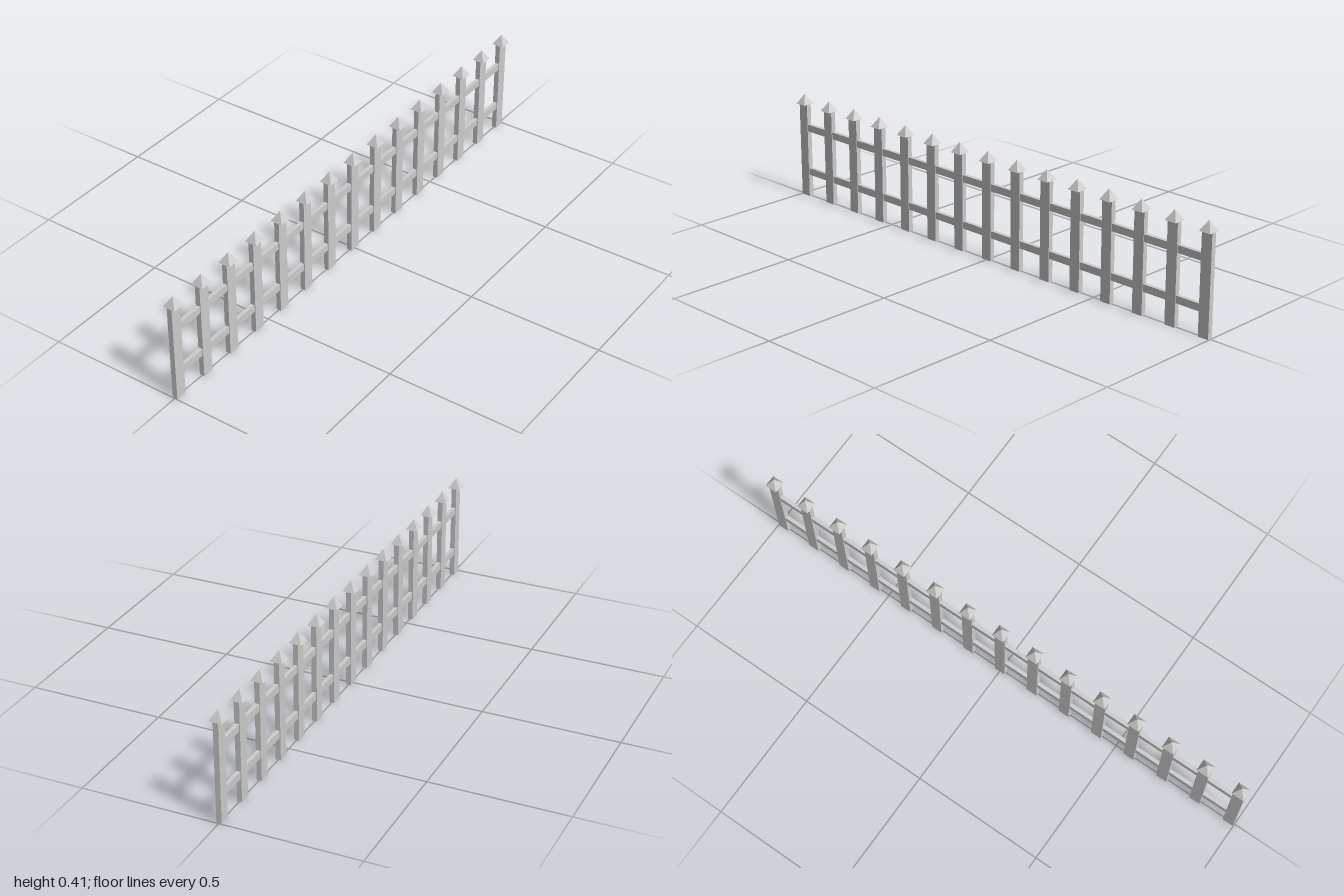
import * as THREE from 'three';

export function createModel() {
  const fence = new THREE.Group();
  fence.name = 'picketFence';

  const paint = new THREE.MeshStandardMaterial({ color: 0xcccccc });
  paint.name = 'pale grey';

  const count = 15, reach = 0.977;
  const postHeight = 0.367, postWidth = 0.042, postDepth = 0.019;
  const capWidth = 0.046, capHeight = 0.038;

  const add = (parent, name, geometry, y) => {
    const mesh = new THREE.Mesh(geometry, paint);
    mesh.name = name;
    mesh.position.y = y;
    parent.add(mesh);
  };

  // Flat pickets topped by square pyramids
  const postGeometry = new THREE.BoxGeometry(postWidth, postHeight, postDepth);
  const pyramid = new THREE.ConeGeometry(capWidth / Math.SQRT2, capHeight, 4).rotateY(Math.PI / 4);
  const capGeometry = pyramid.toNonIndexed();
  capGeometry.computeVertexNormals(); // crisp facets

  for (let i = 0; i < count; i++) {
    const picket = new THREE.Group();
    picket.name = 'picket';
    picket.position.x = -reach + (2 * reach * i) / (count - 1);
    add(picket, 'post', postGeometry, postHeight / 2);
    add(picket, 'pointedCap', capGeometry, postHeight + capHeight / 2);
    fence.add(picket);
  }

  // Two thin rails through the pickets
  const railGeometry = new THREE.BoxGeometry(2 * reach, 0.027, 0.014);
  add(fence, 'lowerRail', railGeometry, 0.1);
  add(fence, 'upperRail', railGeometry, 0.275);

  return fence;
}
